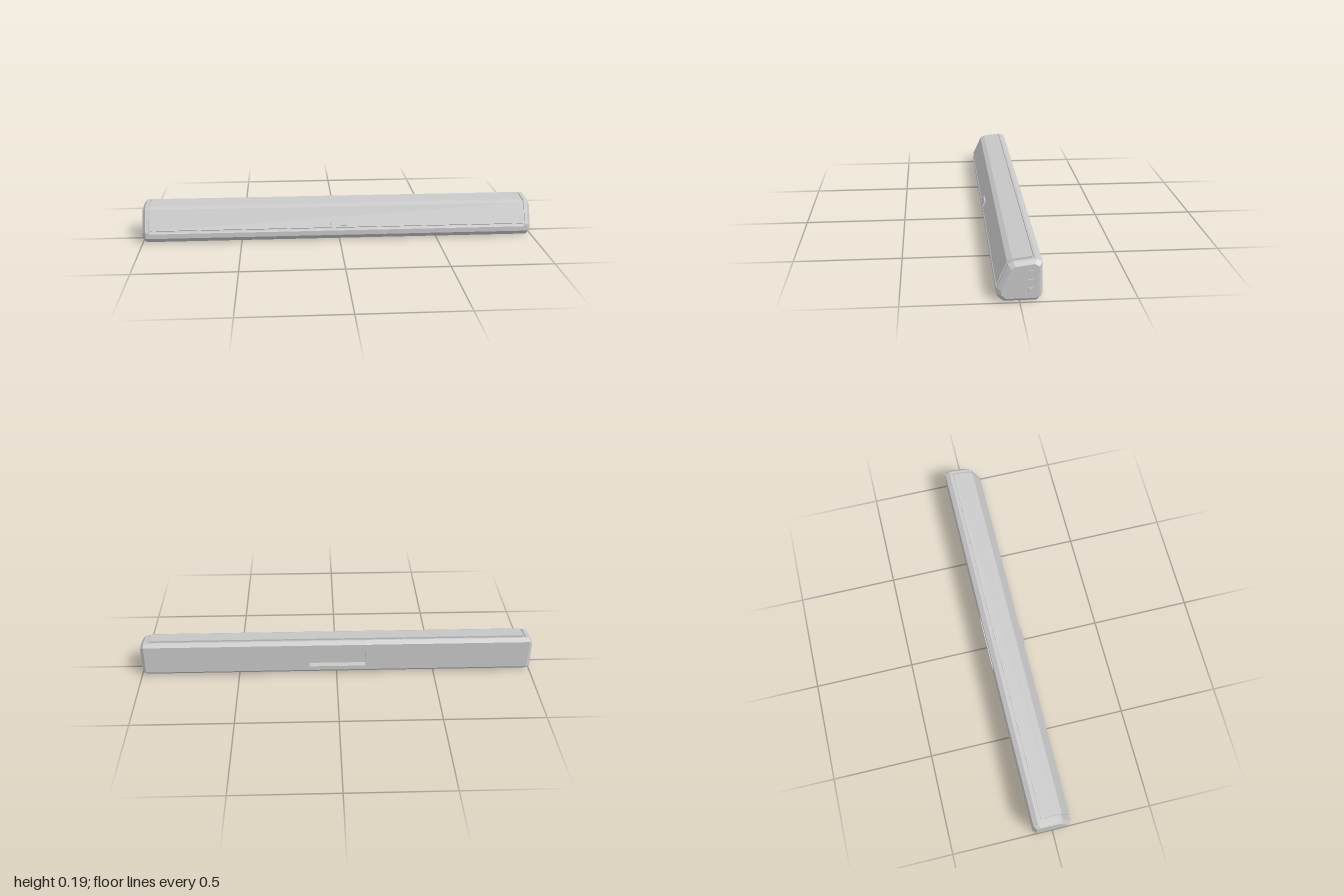
import * as THREE from 'three';
import { ConvexGeometry } from 'three/addons/geometries/ConvexGeometry.js';

// Cross-sections are lists of [z, y] points.
const FLOOR = [[-0.07, 0], [0.068, 0], [0.096, 0.026]];
const BACK = [[-0.073, 0.185], [-0.096, 0.172]];
const OUTER = [...FLOOR, [0.095, 0.06], [0.048, 0.163], [0.027, 0.174], ...BACK, [-0.096, 0.024]];
const END = [[-0.066, 0.015], [0.057, 0.015], [0.077, 0.033], [0.077, 0.051], [0.036, 0.146],
  [0.016, 0.158], [-0.0625, 0.169], [-0.082, 0.158], [-0.082, 0.022]];
// Main body section, sunk where the grille sits
const SUNK = [...FLOOR, [0.0955, 0.05], [0.089, 0.054], [0.044, 0.157], [0.026, 0.167],
  [-0.062, 0.177], [-0.063, 0.184], ...BACK];
const NOTCH = [[-0.096, 0.128], [-0.064, 0.128], [-0.064, 0.046], [-0.096, 0.046]];
const GRILLE = [[0.0865, 0.062], [0.0945, 0.067], [0.0505, 0.165], [0.028, 0.177],
  [-0.054, 0.187], [-0.054, 0.176], [0.026, 0.166], [0.043, 0.156]];

// Extrude a [z, y] section along x
function extrudeX(section, x0, x1) {
  const shape = new THREE.Shape(section.map(([z, y]) => new THREE.Vector2(-z, y)));
  const geo = new THREE.ExtrudeGeometry(shape, { depth: x1 - x0, bevelEnabled: false });
  return geo.rotateY(Math.PI / 2).translate(x0, 0, 0);
}

export function createModel() {
  const group = new THREE.Group();
  group.name = 'soundbar';
  const grey = new THREE.MeshStandardMaterial({ color: 0xc8c8c8 });
  grey.name = 'grey plastic';
  const bar = new THREE.Group();
  bar.name = 'bar';
  bar.position.x = -0.0035;
  group.add(bar);
  const add = (name, geo) => {
    const mesh = new THREE.Mesh(geo, grey);
    mesh.name = name;
    bar.add(mesh);
    return mesh;
  };

  // Body in three lengths, the middle one notched for the rear socket bay
  const corner = [-0.096, 0.024];
  const bay = 0.143, inner = 0.966;
  add('bodyRight', extrudeX([...SUNK, corner], -inner, -bay));
  add('bodyLeft', extrudeX([...SUNK, corner], bay, inner));
  add('bodyMiddle', extrudeX([...SUNK, ...NOTCH, corner], -bay, bay));

  // Chamfered end caps
  for (const side of [-1, 1]) {
    const at = (section, x) => section.map(([z, y]) => new THREE.Vector3(side * x, y, z));
    add(side > 0 ? 'endCapLeft' : 'endCapRight',
      new ConvexGeometry([...at(OUTER, 0.965), ...at(OUTER, 0.98), ...at(END, 0.9965)]));
  }

  // Wrap-around grille
  add('grille', extrudeX(GRILLE, -0.954, 0.954));

  // Raised badge plate lying on the sloping front
  const badge = add('badgePlate', new THREE.BoxGeometry(0.086, 0.026, 0.016));
  badge.position.set(-0.002, 0.087, 0.0855);
  badge.rotation.x = -Math.atan2(0.047, 0.103);

  // Side buttons
  for (const y of [0.052, 0.091, 0.13]) {
    add('button', new THREE.BoxGeometry(0.014, 0.023, 0.022)).position.set(0.9965, y, -0.046);
  }
  return group;
}
